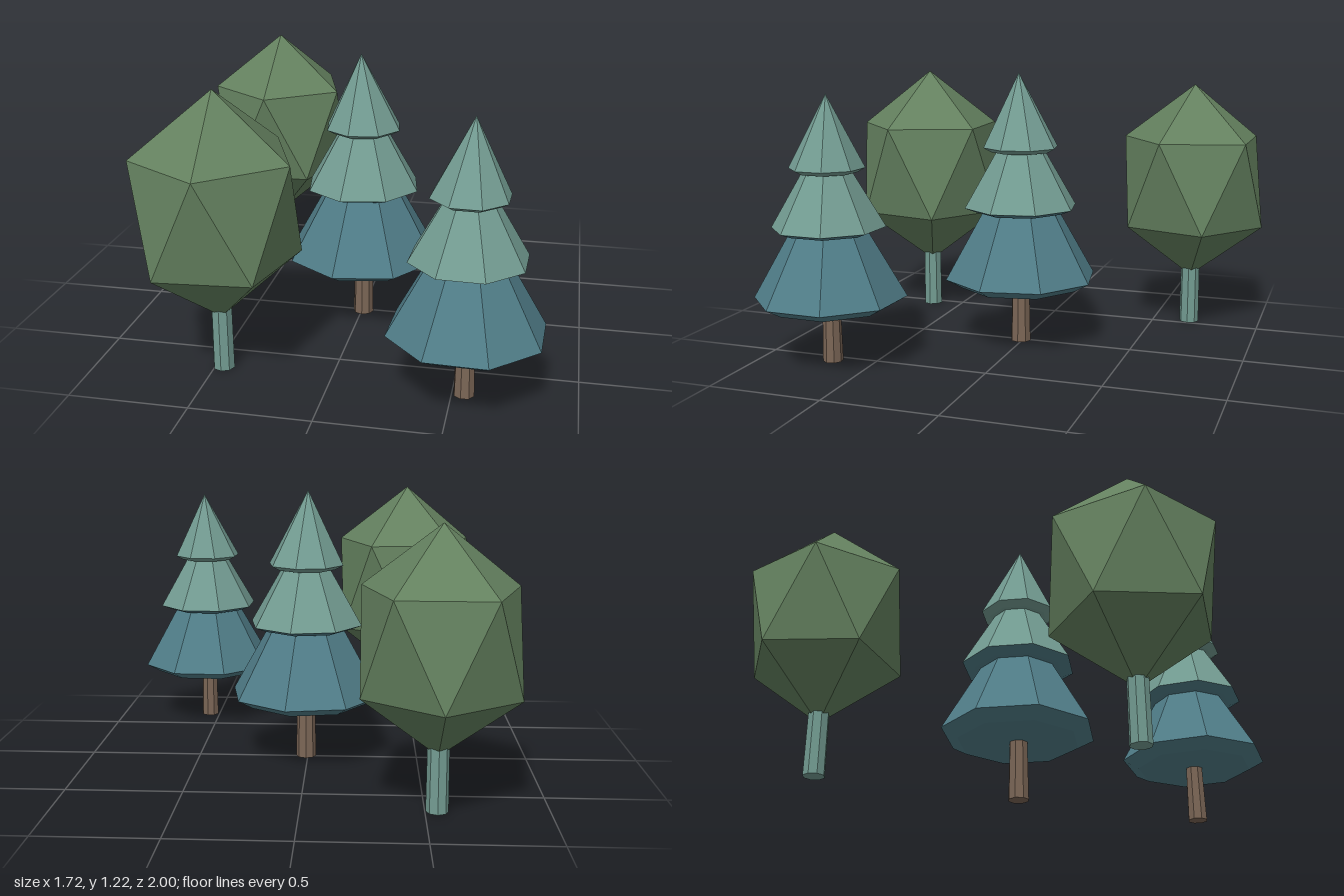
import * as THREE from 'three';
import { ConvexGeometry } from 'three/addons/geometries/ConvexGeometry.js';

const deg = Math.PI / 180;

function makeMaterial(name, color) {
  const m = new THREE.MeshStandardMaterial({ color });
  m.name = name;
  return m;
}

// Separate the faces so every facet is shaded flat
function faceted(geometry) {
  const g = geometry.toNonIndexed();
  g.computeVertexNormals();
  return g;
}

function addMesh(parent, name, geometry, material) {
  const mesh = new THREE.Mesh(geometry, material);
  mesh.name = name;
  parent.add(mesh);
}

// Eight-sided ring of foliage; profile runs upwards as [radius, y]
function octagonLathe(profile) {
  const points = profile.map(([r, y]) => new THREE.Vector2(r, y));
  return new THREE.LatheGeometry(points, 8, (90 - 12.3) * deg);
}

function trunkGeometry(bottomRadius, topRadius, height) {
  return faceted(new THREE.CylinderGeometry(topRadius, bottomRadius, height, 8).translate(0, height / 2, 0));
}

export function createModel() {
  const leafGreen = makeMaterial('leaf green', 0x64815f);
  const paleTeal = makeMaterial('pale teal', 0x739c92);
  const deepBlue = makeMaterial('deep blue', 0x507d88);
  const barkBrown = makeMaterial('bark brown', 0x7b6656);

  // Conifer: three stacked tiers, each with a tucked-in underside
  function conifer(name, x, z, scale, turn) {
    const tree = new THREE.Group();
    tree.name = name;
    addMesh(tree, 'trunk', trunkGeometry(0.046, 0.04, 0.3), barkBrown);

    const tiers = [
      { name: 'lowerTier', rim: 0.346, rimY: 0.303, lip: 0.273, lipY: 0.262, top: 0.168, topY: 0.615, skin: deepBlue, under: deepBlue },
      { name: 'middleTier', rim: 0.257, rimY: 0.625, lip: 0.203, lipY: 0.604, top: 0.105, topY: 0.885, skin: paleTeal, under: deepBlue },
      { name: 'upperTier', rim: 0.171, rimY: 0.893, lip: 0.135, lipY: 0.873, top: 0, topY: 1.222, skin: paleTeal, under: paleTeal },
    ];
    for (const t of tiers) {
      const slope = octagonLathe([[t.rim, t.rimY], [t.top, t.topY]]);
      if (t.top === 0) {
        // The tip leans slightly off centre
        const p = slope.attributes.position;
        for (let i = 0; i < p.count; i++) {
          if (p.getY(i) > 1.2) p.setXYZ(i, -0.008, t.topY, 0.012);
        }
      }
      addMesh(tree, t.name, faceted(slope), t.skin);
      addMesh(tree, t.name + 'Underside', faceted(octagonLathe([[0, t.lipY], [t.lip, t.lipY], [t.rim, t.rimY]])), t.under);
    }
    tree.position.set(x, 0, z);
    tree.scale.setScalar(scale);
    tree.rotation.y = -turn * deg;
    return tree;
  }

  // Broadleaf: stretched icosahedron crown standing on one corner
  function broadleaf(name, x, z, centreY, rx, ry, rz, turn) {
    const tree = new THREE.Group();
    tree.name = name;
    addMesh(tree, 'trunk', trunkGeometry(0.046, 0.044, 0.32), paleTeal);

    const corners = [new THREE.Vector3(0, centreY + ry, 0), new THREE.Vector3(0, centreY - ry, 0)];
    for (let i = 0; i < 10; i++) {
      const a = (turn + 36 * i) * deg;
      const y = centreY + (i % 2 ? -1 : 1) * ry / Math.sqrt(5);
      corners.push(new THREE.Vector3(rx * Math.cos(a), y, rz * Math.sin(a)));
    }
    addMesh(tree, 'crown', new ConvexGeometry(corners), leafGreen);
    tree.position.set(x, 0, z);
    return tree;
  }

  const model = new THREE.Group();
  model.name = 'treeGroup';
  model.add(
    conifer('tallConifer', 0.008, 0.01, 1, 0),
    conifer('smallConifer', 0.549, 0.685, 0.943, 192.2),
    broadleaf('frontBroadleaf', -0.464, 0.65, 0.714, 0.338, 0.482, 0.347, 13.6),
    broadleaf('backBroadleaf', -0.549, -0.67, 0.69, 0.327, 0.461, 0.332, 18.6),
  );
  return model;
}
